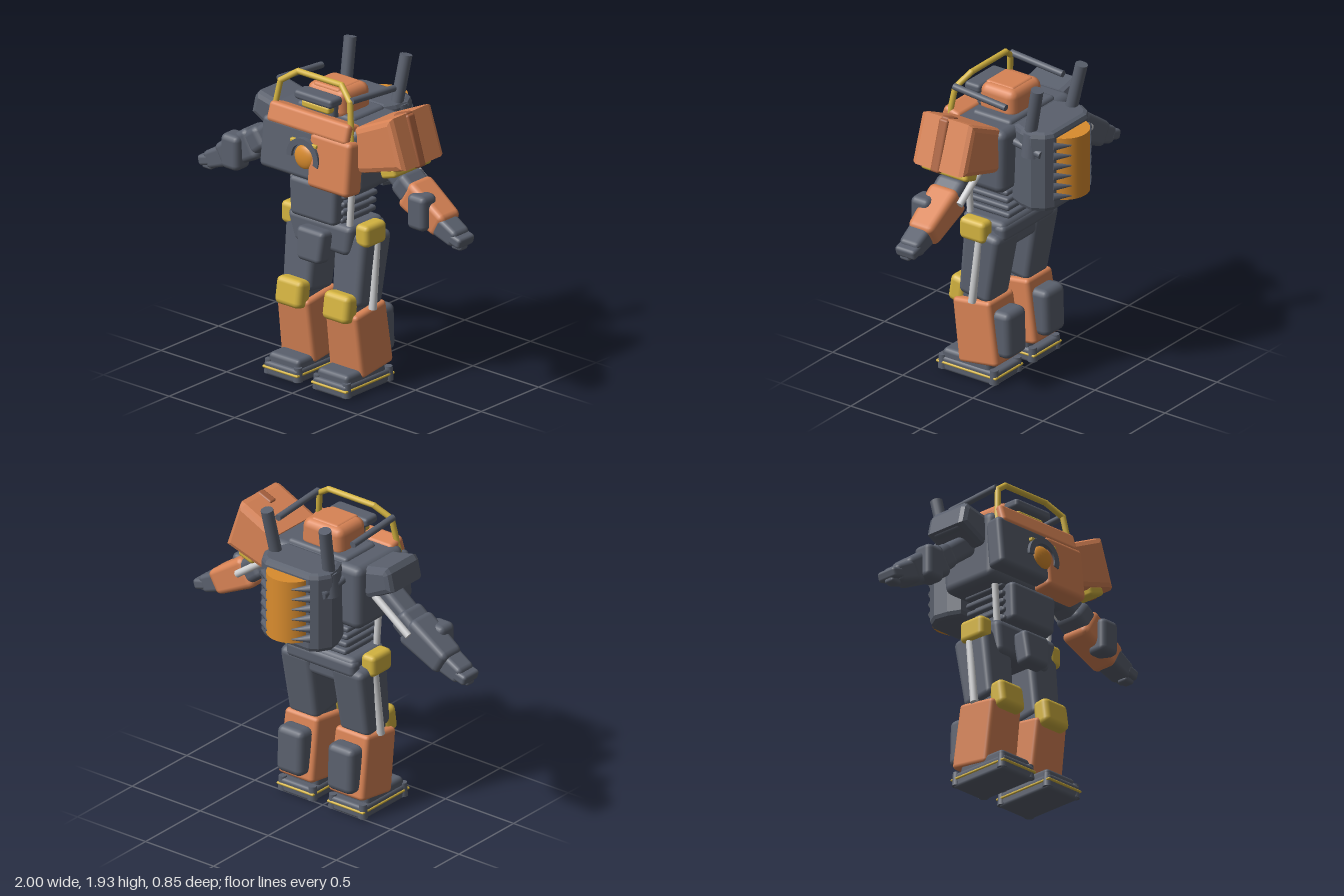
import * as THREE from 'three';
import { RoundedBoxGeometry } from 'three/addons/geometries/RoundedBoxGeometry.js';

const paint = (name, color) => Object.assign(new THREE.MeshStandardMaterial({ color }), { name });

export function createModel() {
  const model = new THREE.Group();
  model.name = 'robot';
  const dark = paint('slate', 0x5a606d);
  const orange = paint('orange', 0xd88355);
  const yellow = paint('yellow', 0xd3b340);
  const amber = paint('amber', 0xd98c2e);
  const steel = paint('steel', 0xcfd0d2);
  const rust = paint('rust', 0xa9623f);

  const V = (p) => new THREE.Vector3(...p);
  const add = (name, geo, mat) => {
    const mesh = new THREE.Mesh(geo, mat);
    mesh.name = name;
    model.add(mesh);
    return mesh;
  };
  // rounded box whose lower end is scaled by taper [x, z]
  const boxGeo = (w, h, d, r, taper = [1, 1]) => {
    const geo = new RoundedBoxGeometry(w, h, d, 2, Math.min(r, w / 2.1, h / 2.1, d / 2.1));
    const p = geo.attributes.position;
    for (let i = 0; i < p.count; i++) {
      const t = 0.5 - p.getY(i) / h;
      p.setX(i, p.getX(i) * (1 + (taper[0] - 1) * t));
      p.setZ(i, p.getZ(i) * (1 + (taper[1] - 1) * t));
    }
    return geo;
  };
  const box = (name, mat, size, pos, { rot = [0, 0, 0], r = 0.025, taper } = {}) => {
    const mesh = add(name, boxGeo(...size, r, taper), mat);
    mesh.position.set(...pos);
    mesh.rotation.set(...rot);
    return mesh;
  };
  // place a y-aligned geometry so that it runs from a (bottom) to b (top)
  const span = (mesh, a, b) => {
    mesh.position.copy(V(a)).add(V(b)).multiplyScalar(0.5);
    mesh.quaternion.setFromUnitVectors(new THREE.Vector3(0, 1, 0), V(b).sub(V(a)).normalize());
    return mesh;
  };
  const beam = (name, mat, a, b, w, d, { r = 0.025, taper } = {}) =>
    span(add(name, boxGeo(w, V(a).distanceTo(V(b)), d, r, taper), mat), a, b);
  const rod = (name, mat, a, b, r0, r1 = r0, sides = 14) =>
    span(add(name, new THREE.CylinderGeometry(r1, r0, V(a).distanceTo(V(b)), sides), mat), a, b);
  // bevelled prism from an outline, extruded along z from z0 to z1
  const prismGeo = (pts, z0, z1, bevel) => {
    const shape = new THREE.Shape(pts.map((p) => new THREE.Vector2(...p)));
    const geo = new THREE.ExtrudeGeometry(shape, {
      depth: z1 - z0 - 2 * bevel, bevelThickness: bevel, bevelSize: bevel,
      bevelOffset: -bevel, bevelSegments: 2, curveSegments: 16,
    });
    return geo.translate(0, 0, z0 + bevel);
  };

  // legs
  for (const s of [1, -1]) {
    const side = s > 0 ? 'left' : 'right';
    const x = s * 0.185;
    box(side + 'Sole', dark, [0.26, 0.09, 0.42], [x, 0.052, 0.185], { r: 0.02, taper: [0.96, 0.96] });
    box(side + 'SoleTrim', yellow, [0.27, 0.015, 0.43], [x, 0.06, 0.185], { r: 0.007 });
    box(side + 'FootTop', dark, [0.23, 0.09, 0.33], [x, 0.1, 0.2], { taper: [1.08, 1.1] });
    for (const dx of [-0.11, 0.11])
      for (const z of [-0.0, 0.365])
        rod(side + 'FootCorner', dark, [x + dx, 0.02, z], [x + dx, 0.105, z], 0.03, 0.024, 10);
    box(side + 'Shin', orange, [0.245, 0.4, 0.27], [x, 0.31, 0.135], { rot: [0.14, 0, 0], taper: [1.06, 1.03] });
    box(side + 'CalfPlate', dark, [0.19, 0.29, 0.13], [x, 0.32, -0.025], { rot: [0.03, 0, 0], r: 0.04 });
    box(side + 'Knee', yellow, [0.195, 0.17, 0.11], [s * 0.18, 0.525, 0.29], { rot: [-0.15, 0, 0], r: 0.035 });
    box(side + 'KneeJoint', dark, [0.17, 0.12, 0.18], [s * 0.18, 0.53, 0.17]);
    box(side + 'Thigh', dark, [0.235, 0.45, 0.26], [s * 0.188, 0.735, 0.125], { rot: [-0.14, 0, 0], r: 0.04, taper: [0.9, 0.85] });
    rod(side + 'ThighPiston', steel, [s * 0.305, 0.5, 0.15], [s * 0.295, 0.95, 0.1], 0.024);
    box(side + 'HipGuard', yellow, [0.1, 0.135, 0.18], [s * 0.282, 0.963, 0.14], { r: 0.03 });
  }

  // pelvis and waist
  box('pelvis', dark, [0.5, 0.2, 0.31], [0, 0.92, 0.125], { r: 0.04, taper: [0.8, 0.85] });
  box('pelvisBackBand', dark, [0.5, 0.1, 0.08], [0, 0.95, 0.005], { r: 0.03 });
  box('codpiece', dark, [0.21, 0.2, 0.11], [0, 0.87, 0.31], { rot: [-0.1, 0, 0], r: 0.03, taper: [0.8, 1] });
  box('waistCore', dark, [0.34, 0.3, 0.24], [0, 1.13, 0.125]);
  for (let i = 0; i < 5; i++)
    box('waistRing', dark, [0.37 + i * 0.012, 0.034, 0.3], [0, 1.045 + i * 0.05, 0.125], { r: 0.015 });
  box('bellyPlate', dark, [0.36, 0.24, 0.1], [0, 1.14, 0.285], { r: 0.03, taper: [0.94, 1] });
  for (const s of [1, -1])
    rod('waistPiston', steel, [s * 0.205, 0.99, 0.235], [s * 0.225, 1.28, 0.235], 0.02);

  // chest
  box('chest', dark, [0.69, 0.41, 0.43], [0, 1.45, 0.115], { r: 0.05, taper: [0.95, 0.9] });
  box('rightChestPlate', dark, [0.4, 0.31, 0.12], [-0.14, 1.445, 0.335], { rot: [-0.1, 0, 0], r: 0.03 });
  box('leftChestPlate', orange, [0.31, 0.33, 0.14], [0.185, 1.425, 0.335], { rot: [-0.1, 0, 0], r: 0.03 });
  box('chestBar', orange, [0.61, 0.125, 0.12], [0, 1.62, 0.315], { rot: [-0.3, 0, 0] });
  box('collar', dark, [0.44, 0.06, 0.28], [0, 1.645, 0.08]);

  // chest lamp with a hood
  const lamp = add('lamp', new THREE.SphereGeometry(0.075, 24, 12), amber);
  lamp.position.set(0, 1.43, 0.39);
  lamp.scale.z = 0.4;
  const hood = new THREE.Shape();
  hood.absarc(0, 0, 0.12, -0.3, 3.2, false);
  hood.absarc(0, 0, 0.083, 3.2, -0.3, true);
  add('lampHood', new THREE.ExtrudeGeometry(hood, { depth: 0.04, bevelEnabled: false, curveSegments: 20 }), dark)
    .position.set(0, 1.43, 0.375);
  for (const s of [1, -1]) box('lampTab', yellow, [0.04, 0.022, 0.03], [s * 0.08, 1.52, 0.395], { r: 0.006 });

  // head
  box('helmet', orange, [0.29, 0.18, 0.25], [0, 1.725, 0.1], { r: 0.05, taper: [1.05, 1.05] });
  box('helmetCrest', orange, [0.2, 0.04, 0.2], [0, 1.8, 0.11], { r: 0.018 });
  box('face', dark, [0.22, 0.13, 0.1], [0, 1.71, 0.22]);
  box('visor', dark, [0.285, 0.055, 0.11], [0, 1.765, 0.275], { r: 0.02 });
  box('mouthGuard', yellow, [0.21, 0.045, 0.08], [0, 1.712, 0.265], { r: 0.015 });

  // roll cage
  const cage = [[-0.3, 1.58, 0.33], [-0.265, 1.81, 0.3], [-0.165, 1.88, 0.26],
    [0.165, 1.88, 0.26], [0.265, 1.81, 0.3], [0.3, 1.58, 0.33]];
  for (let i = 0; i < cage.length; i++) {
    if (i) rod('cageBar', yellow, cage[i - 1], cage[i], 0.018, 0.018, 10);
    add('cageJoint', new THREE.SphereGeometry(0.0185, 10, 8), yellow).position.set(...cage[i]);
  }
  for (const s of [1, -1]) rod('cageRail', dark, [s * 0.275, 1.82, 0.3], [s * 0.275, 1.79, -0.07], 0.02);

  // backpack, plan outline in x and -z
  const half = [[0.2, 0.06], [0.235, 0.14], [0.25, 0.23], [0.21, 0.3], [0.16, 0.33]];
  const plan = [...half, ...half.map(([x, y]) => [-x, y]).reverse()];
  add('backpack', prismGeo(plan, 1.16, 1.66, 0.03).rotateX(-Math.PI / 2), dark);
  rod('reactor', amber, [0, 1.23, -0.28], [0, 1.62, -0.28], 0.15, 0.15, 32);
  for (const s of [1, -1]) {
    for (let i = 0; i < 6; i++) {
      const y = 1.255 + i * 0.064;
      rod('reactorTooth', dark, [s * 0.165, y, -0.325], [s * 0.09, y, -0.4], 0.026, 0.004, 8);
    }
    rod('exhaust', dark, [s * 0.19, 1.56, -0.17], [s * 0.213, 1.93, -0.247], 0.037);
    rod('exhaustSocket', dark, [s * 0.21, 1.5, -0.2], [s * 0.2, 1.64, -0.2], 0.06, 0.05);
    rod('packHose', dark, [s * 0.22, 1.53, -0.28], [s * 0.22, 1.57, -0.05], 0.025);
  }

  // arms
  for (const s of [1, -1]) {
    const side = s > 0 ? 'left' : 'right';
    const P = (x, y, z = 0.11) => [s * x, y, z];
    beam(side + 'UpperArm', dark, P(0.62, 1.28), P(0.3, 1.52), 0.13, 0.15, { r: 0.035 });
    rod(side + 'ArmPiston', steel, P(0.63, 1.29, 0.0), P(0.38, 1.47, 0.0), 0.022);
    beam(side + 'Elbow', dark, P(0.62, 1.28), P(0.51, 1.365), 0.15, 0.19, { r: 0.04 });
    beam(side + 'Forearm', s > 0 ? orange : dark, P(0.845, 1.145), P(0.575, 1.305), 0.2, 0.2, { r: 0.04, taper: [0.75, 0.85] });
    box(side + 'ForearmPod', dark, [0.135, 0.215, 0.13], P(0.71, 1.225, 0.185), { r: 0.035 });
    beam(side + 'Hand', dark, P(0.95, 1.095, 0.12), P(0.8, 1.165, 0.12), 0.135, 0.15, { r: 0.03, taper: [0.75, 0.9] });
    beam(side + 'Fingers', dark, P(0.998, 1.085, 0.12), P(0.91, 1.11, 0.12), 0.065, 0.14, { r: 0.02 });
    box(side + 'Thumb', dark, [0.075, 0.05, 0.07], P(0.95, 1.063, 0.13), { r: 0.015 });
  }

  // shoulders
  add('leftShoulder', prismGeo([[0.3, 1.4], [0.36, 1.395], [0.675, 1.49], [0.575, 1.785], [0.545, 1.775], [0.3, 1.66]], -0.06, 0.315, 0.035), orange);
  box('leftShoulderInner', orange, [0.2, 0.2, 0.33], [0.39, 1.52, 0.13], { rot: [0, 0, 0.3] });
  beam('leftShoulderRidge', rust, [0.663, 1.47, 0.143], [0.57, 1.775, 0.143], 0.045, 0.065, { r: 0.015 });
  beam('leftShoulderRidgeTop', rust, [0.48, 1.74, 0.143], [0.58, 1.778, 0.143], 0.03, 0.055, { r: 0.012 });
  beam('leftShoulderTrim', yellow, [0.49, 1.425, 0.135], [0.6, 1.46, 0.135], 0.06, 0.33, { r: 0.02 });
  add('rightShoulder', prismGeo([[-0.28, 1.46], [-0.28, 1.64], [-0.34, 1.645], [-0.475, 1.675], [-0.5, 1.645], [-0.525, 1.535], [-0.36, 1.45]], -0.03, 0.27, 0.035), dark);
  box('rightShoulderCap', dark, [0.1, 0.15, 0.22], [-0.45, 1.58, 0.12], { rot: [0, 0, -0.25] });
  return model;
}
